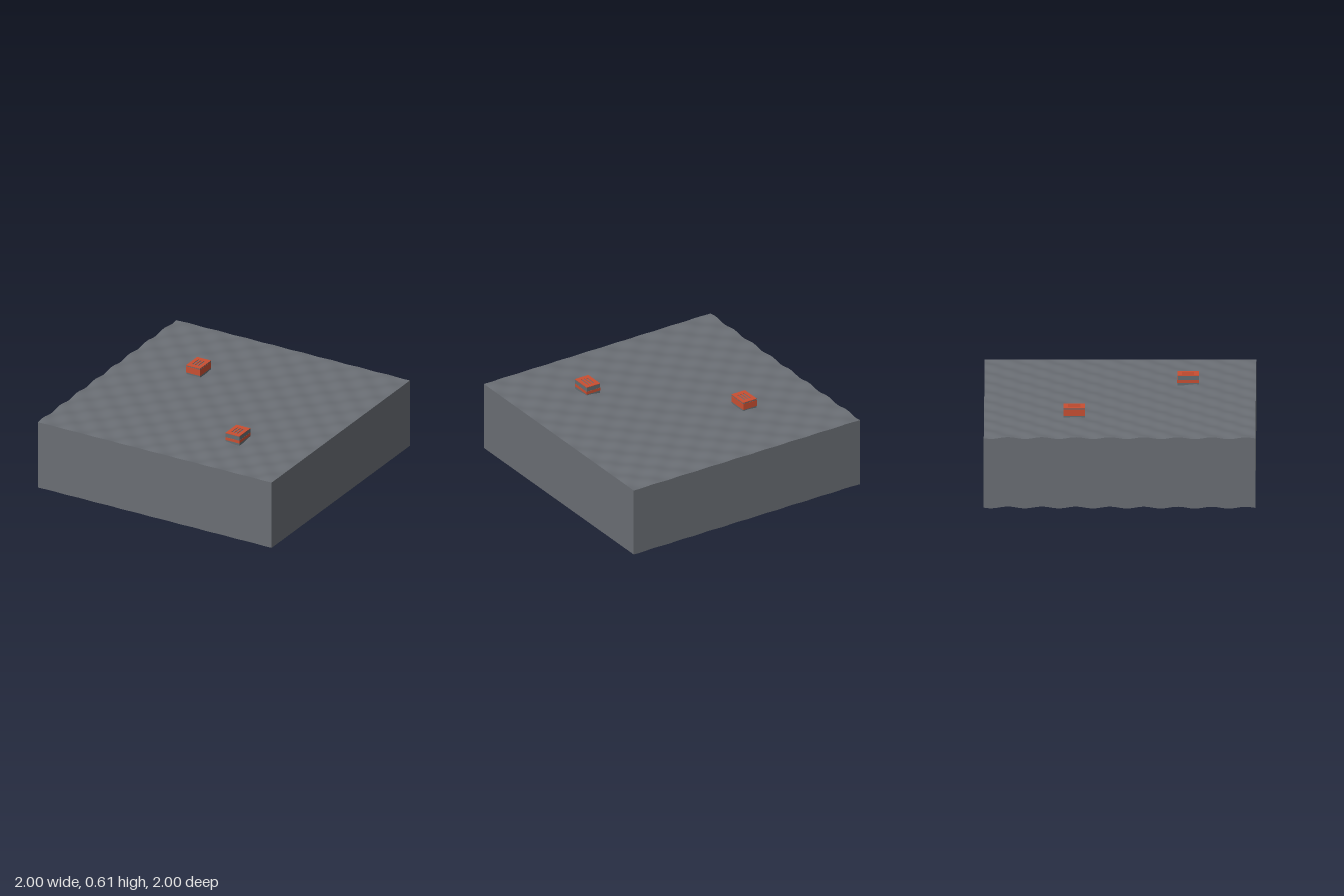
import * as THREE from 'three';

const grey = new THREE.MeshStandardMaterial({ color: 0x6a6e74, side: THREE.DoubleSide });
grey.name = 'slate grey';
const crateGrey = new THREE.MeshStandardMaterial({ color: 0x646d72 });
crateGrey.name = 'crate grey';
const orange = new THREE.MeshStandardMaterial({ color: 0xc94f32 });
orange.name = 'burnt orange';

const TOP = 0.541, BOTTOM = 0.007, SEG = 96;

// gentle ripple shared by the surface and the wall edges
const ripple = (x, z) => 0.007 * Math.cos(25.92 * (x + 1)) * Math.cos(25.1 * (z - 0.93));

function add(parent, name, geometry, material, x = 0, y = 0, z = 0) {
  const mesh = new THREE.Mesh(geometry, material);
  mesh.name = name;
  mesh.position.set(x, y, z);
  parent.add(mesh);
  return mesh;
}

function rippledSurface() {
  const g = new THREE.PlaneGeometry(2, 2, SEG, SEG).rotateX(-Math.PI / 2);
  const p = g.attributes.position;
  for (let i = 0; i < p.count; i++) p.setY(i, TOP + ripple(p.getX(i), p.getZ(i)));
  g.computeVertexNormals();
  return g;
}

// vertical wall whose upper and lower edges follow the ripple
function rippledWall(angle) {
  const g = new THREE.PlaneGeometry(2, 1, SEG, 1).translate(0, 0, 1).rotateY(angle);
  const p = g.attributes.position;
  for (let i = 0; i < p.count; i++) {
    const base = p.getY(i) > 0 ? TOP : BOTTOM;
    p.setY(i, base + ripple(p.getX(i), p.getZ(i)));
  }
  return g;
}

// crate lid: a thin plate with two long slots
function slottedLid(w, d) {
  const rect = (path, x0, y0, x1, y1) => {
    path.moveTo(x0, y0);
    path.lineTo(x1, y0);
    path.lineTo(x1, y1);
    path.lineTo(x0, y1);
    path.closePath();
    return path;
  };
  const shape = rect(new THREE.Shape(), -w / 2, -d / 2, w / 2, d / 2);
  for (const x of [-0.03, -0.006, 0.018])
    shape.holes.push(rect(new THREE.Path(), x, -0.045, x + 0.012, 0.045));
  return new THREE.ExtrudeGeometry(shape, { depth: 0.004, bevelEnabled: false }).rotateX(-Math.PI / 2);
}

function crate(name, x, z, bandLow, bandHigh) {
  const group = new THREE.Group();
  group.name = name;
  group.position.set(x, 0, z);
  const w = 0.12, d = 0.16, low = 0.53, high = 0.61;
  add(group, 'crateBody', new THREE.BoxGeometry(w - 0.002, high - low, d - 0.002), crateGrey, 0, (low + high) / 2, 0);
  add(group, 'crateLid', slottedLid(w - 0.001, d - 0.001), orange, 0, high, 0);
  // painted band on each side
  const h = bandHigh - bandLow, y = (bandLow + bandHigh) / 2;
  for (const s of [-1, 1]) {
    add(group, 'sideBand', new THREE.BoxGeometry(0.003, h, d), orange, s * (w / 2 - 0.0015), y, 0);
    add(group, 'endBand', new THREE.BoxGeometry(w, h, 0.003), orange, 0, y, s * (d / 2 - 0.0015));
  }
  return group;
}

export function createModel() {
  const model = new THREE.Group();
  model.name = 'rippledBlockWithCrates';
  add(model, 'surface', rippledSurface(), grey);
  ['frontWall', 'leftWall', 'backWall', 'rightWall'].forEach((name, i) =>
    add(model, name, rippledWall(i * Math.PI / 2), grey));
  model.add(crate('backCrate', -0.415, -0.335, 0.553, 0.603));
  model.add(crate('frontCrate', 0.415, 0.5, 0.555, 0.578));
  return model;
}
